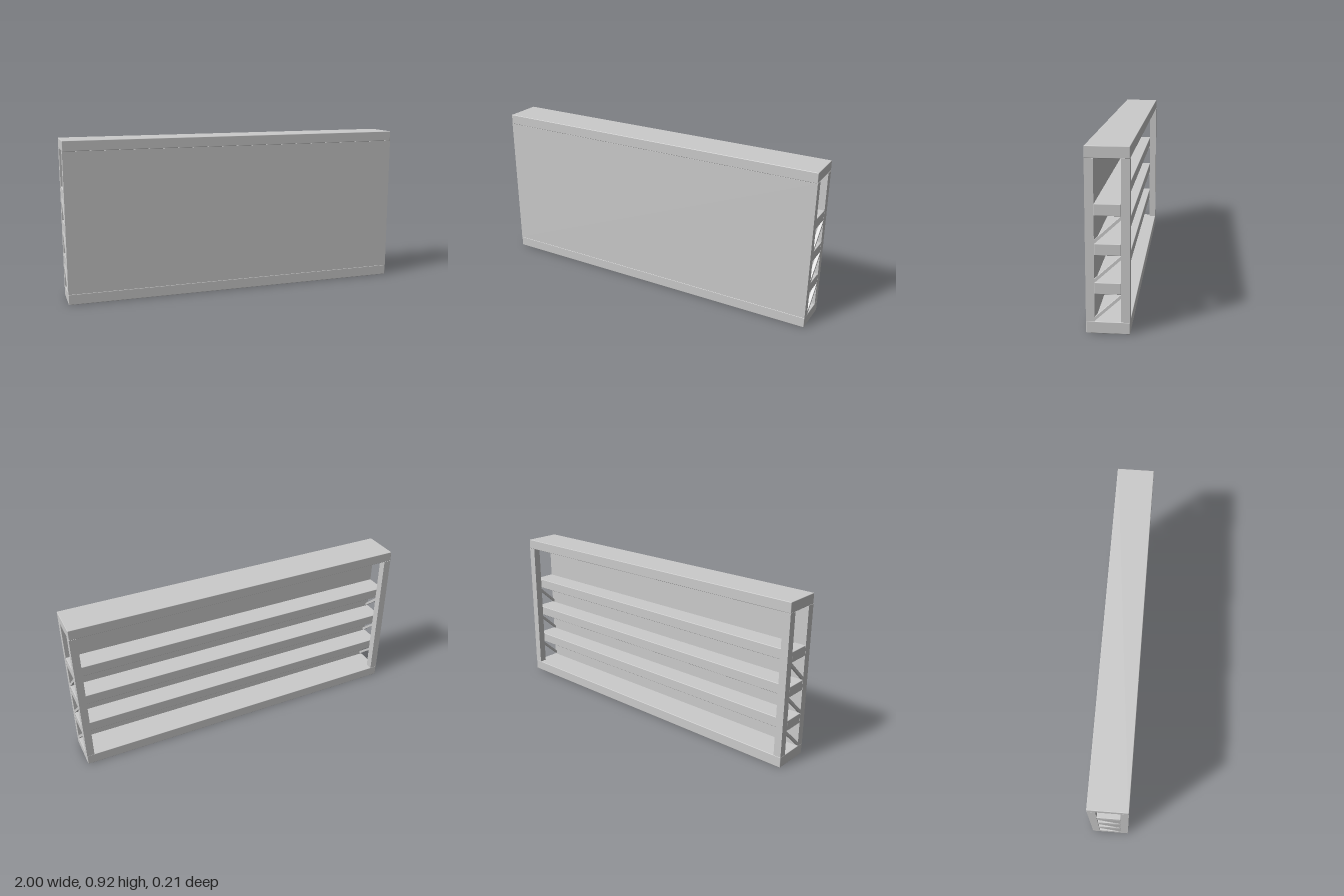
import * as THREE from 'three';
import { RoundedBoxGeometry } from 'three/addons/geometries/RoundedBoxGeometry.js';

const LENGTH = 2;
const DEPTH = 0.214;
const RAIL = 0.058; // height of rails and shelves
const WALL = 0.043; // thickness of the front panel and back posts
const INNER = DEPTH / 2 - WALL; // half depth of the cavity
const TOP = 0.918;

export function createModel() {
  const model = new THREE.Group();
  const material = new THREE.MeshStandardMaterial({ color: 0xcccccc });

  const add = (name, geometry, x, y, z) => {
    const mesh = new THREE.Mesh(geometry, material);
    mesh.name = name;
    mesh.position.set(x, y, z);
    model.add(mesh);
  };
  const softBox = (w, h, d) => new RoundedBoxGeometry(w, h, d, 2, 0.003);

  // Bottom and top rails
  add('bottomRail', softBox(LENGTH, 0.06, DEPTH), 0, 0.03, 0);
  add('topRail', softBox(LENGTH, RAIL, DEPTH), 0, TOP - RAIL / 2, 0);

  // Solid front panel between the rails
  const wallHeight = TOP - RAIL - 0.06;
  const wallY = 0.06 + wallHeight / 2;
  const wallZ = DEPTH / 2 - WALL / 2;
  add('frontPanel', new THREE.BoxGeometry(LENGTH, wallHeight, WALL), 0, wallY, wallZ);

  // Back corner posts
  for (const side of [-1, 1]) {
    const name = side > 0 ? 'leftBackPost' : 'rightBackPost';
    add(name, new THREE.BoxGeometry(WALL, wallHeight, WALL), side * (LENGTH / 2 - WALL / 2), wallY, -wallZ);
  }

  // Diagonal brace: a slanted bar with upright ends, rising towards the back
  const braceWidth = 0.016;
  const rise = 0.118;
  const thick = 0.019;
  const brace = new THREE.BoxGeometry(braceWidth, thick, INNER * 2);
  const pos = brace.attributes.position;
  for (let i = 0; i < pos.count; i++) {
    pos.setY(i, pos.getY(i) - (pos.getZ(i) / (INNER * 2)) * rise);
  }
  brace.computeVertexNormals();

  // Three shelves, each with a brace below it at both ends
  for (let i = 0; i < 3; i++) {
    const shelfBottom = 0.201 + i * 0.1935;
    add(`shelf${i + 1}`, softBox(LENGTH, RAIL, INNER * 2), 0, shelfBottom + RAIL / 2, 0);
    for (const side of [-1, 1]) {
      const name = `${side > 0 ? 'left' : 'right'}Brace${i + 1}`;
      add(name, brace, side * (LENGTH / 2 - braceWidth / 2), shelfBottom - (rise + thick) / 2, 0);
    }
  }

  return model;
}
